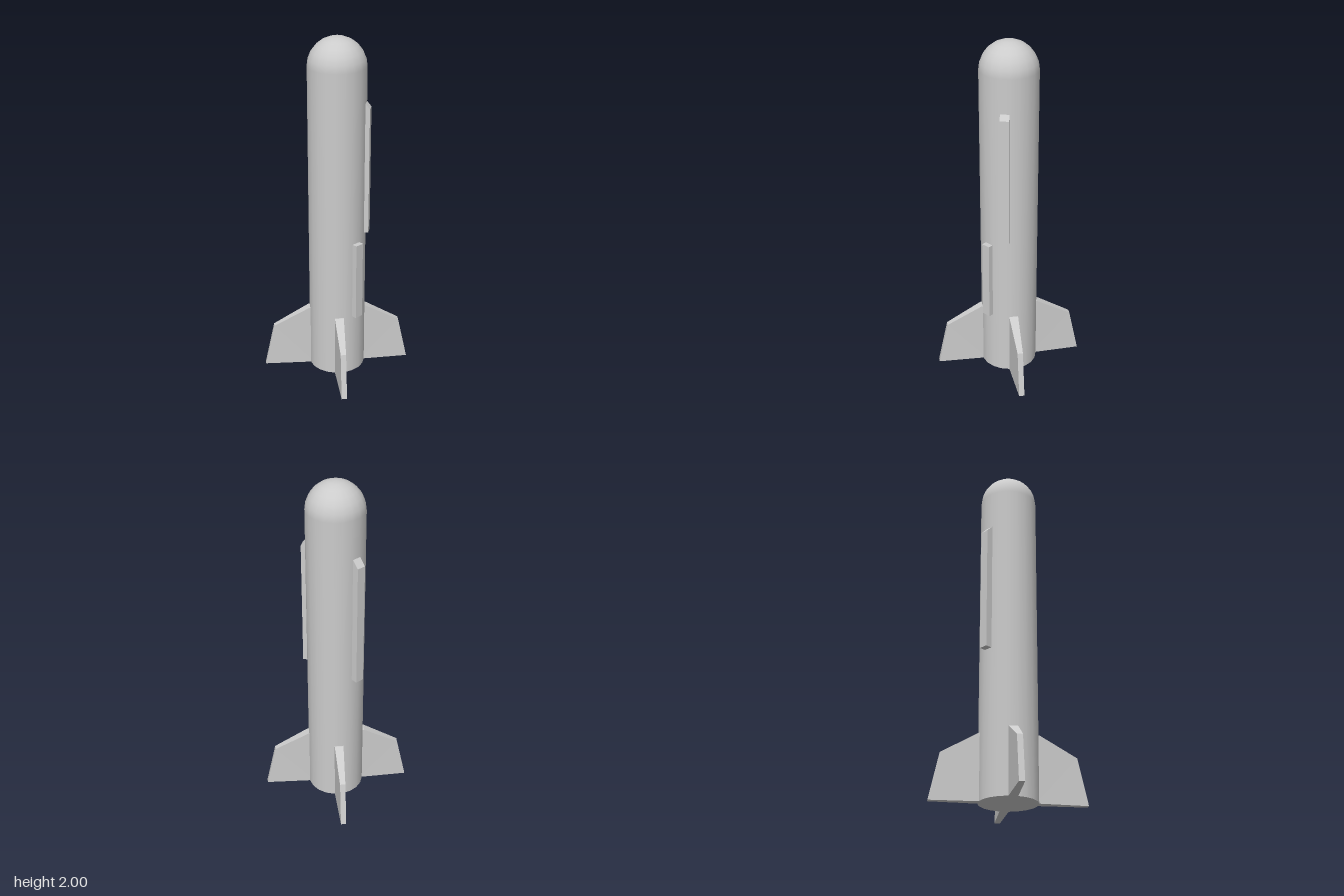
import * as THREE from 'three';

const BODY_R = 0.163;
const SIDES = 20;

export function createModel() {
  const model = new THREE.Group();
  const material = new THREE.MeshStandardMaterial({ color: 0xcccccc });
  const add = (name, geometry, parent = model) => {
    const mesh = new THREE.Mesh(geometry, material);
    mesh.name = name;
    parent.add(mesh);
    return mesh;
  };

  // Extrude a (radius, height) outline evenly about the z = 0 plane
  const slab = (points, width) => {
    const shape = new THREE.Shape(points.map(([r, y]) => new THREE.Vector2(r, y)));
    return new THREE.ExtrudeGeometry(shape, { depth: width, bevelEnabled: false })
      .translate(0, 0, -width / 2);
  };

  // Cylindrical body, hemispherical nose and closed base
  const body = new THREE.Group();
  body.name = 'body';
  body.position.set(0.002, 0, -0.004);
  model.add(body);

  const noseY = 2 - BODY_R;
  add('tube', new THREE.CylinderGeometry(BODY_R, BODY_R, noseY, SIDES, 1, true)
    .translate(0, noseY / 2, 0), body);
  add('nose', new THREE.SphereGeometry(BODY_R, SIDES, 6, 0, Math.PI * 2, 0, Math.PI / 2)
    .rotateY(Math.PI / 2).translate(0, noseY, 0), body);
  add('base', new THREE.CircleGeometry(BODY_R, SIDES)
    .rotateX(Math.PI / 2).rotateY(Math.PI / 2), body);

  // Four tail fins, thick at the root and thinner toward the tip
  const finGeometry = slab(
    [[0.14, 0], [0.428, 0], [0.372, 0.26], [0.166, 0.375], [0.14, 0.375]], 2);
  const pos = finGeometry.attributes.position;
  for (let i = 0; i < pos.count; i++) {
    const t = THREE.MathUtils.clamp((pos.getX(i) - 0.166) / 0.2, 0, 1);
    pos.setZ(i, pos.getZ(i) * THREE.MathUtils.lerp(0.026, 0.0155, t));
  }
  finGeometry.computeVertexNormals();
  for (let i = 0; i < 4; i++) {
    add('tailFin', finGeometry).rotation.y = Math.PI / 4 + i * Math.PI / 2;
  }

  // Raised strips on the sides: angle, outer radius, bottom, top, slope of the top end
  const strips = [
    ['leftUpperStrip', 27.8, 0.189, 0.88, 1.65, 0.035],
    ['leftLowerStrip', -8, 0.192, 0.375, 0.84, 0],
    ['rightStrip', 171, 0.198, 0.84, 1.61, 0.04],
  ];
  for (const [name, angle, r, y0, y1, slope] of strips) {
    const geometry = slab(
      [[0.13, y0], [r, y0], [r, y1 - slope], [0.16, y1], [0.13, y1]], 0.051);
    add(name, geometry).rotation.y = THREE.MathUtils.degToRad(angle);
  }

  return model;
}
